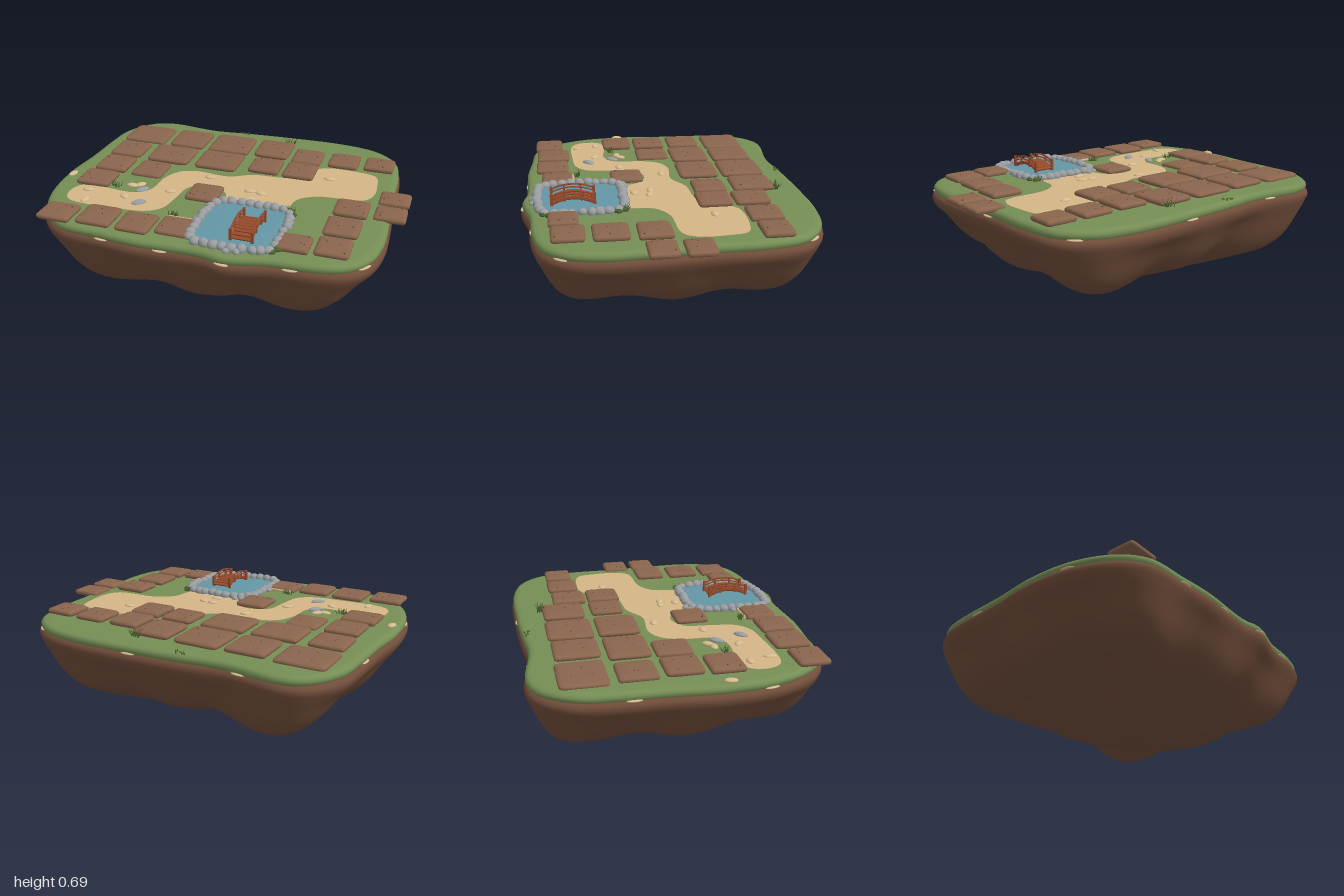
import * as THREE from 'three';

const mat = (name, color, extra = {}) => new THREE.MeshStandardMaterial({ name, color, ...extra });
const M = {
  grass: mat('grass green', 0x768e55),
  dirt: mat('earth brown', 0x714d3a),
  plot: mat('soil brown', 0x8a654d),
  path: mat('sand', 0xd4b585),
  water: mat('water blue', 0x6496a6),
  stone: mat('stone grey', 0x999da0),
  wood: mat('red wood', 0x984b2b),
  pebble: mat('pebble tan', 0xd6bb90),
  leaf: mat('dark leaf', 0x48612f),
  dark: mat('dark soil', 0x4a3529),
};

let seed = 7;
const rand = () => (seed = (seed * 16807) % 2147483647) / 2147483647;
const spread = (a) => (rand() - 0.5) * 2 * a;

// Closed skin through scaled copies of a plan outline, listed from top to bottom
function loft(outline, rings, rule = (x, y, z) => [x, y, z]) {
  const n = outline.length, pos = [], idx = [];
  rings.forEach(([s, y]) => outline.forEach((p) => pos.push(...rule(p.x * s, y, p.y * s, s))));
  for (let i = 0; i < rings.length - 1; i++)
    for (let j = 0; j < n; j++) {
      const a = i * n + j, b = i * n + ((j + 1) % n);
      idx.push(a, b, a + n, b, b + n, a + n);
    }
  const g = new THREE.BufferGeometry();
  g.setAttribute('position', new THREE.Float32BufferAttribute(pos, 3));
  g.setIndex(idx);
  g.computeVertexNormals();
  return g;
}

const smoothLoop = (pts, n) => {
  const c = new THREE.CatmullRomCurve3(pts.map(([x, z]) => new THREE.Vector3(x, 0, z)), true);
  return c.getSpacedPoints(n).slice(0, n).map((p) => new THREE.Vector2(p.x, p.z));
};

// Rounded square in plan, slightly irregular
const squircle = (w, d, e, n, wob = 0) => {
  const ph = rand() * 6;
  return Array.from({ length: n }, (_, i) => {
    const t = (i / n) * Math.PI * 2, c = Math.cos(t), s = Math.sin(t), k = 1 + wob * Math.sin(3 * t + ph);
    return new THREE.Vector2(Math.sign(c) * Math.abs(c) ** e * w * k / 2, Math.sign(s) * Math.abs(s) ** e * d * k / 2);
  });
};

export function createModel() {
  const root = new THREE.Group();
  root.name = 'gardenIsland';
  const group = (name) => { const g = new THREE.Group(); g.name = name; root.add(g); return g; };
  const add = (parent, name, geo, material, x = 0, y = 0, z = 0) => {
    const m = new THREE.Mesh(geo, material);
    m.name = name;
    m.position.set(x, y, z);
    parent.add(m);
    return m;
  };
  const ball = new THREE.SphereGeometry(1, 12, 8);
  const rock = (parent, name, material, x, y, z, rx, ry, rz, turn = rand() * 6) => {
    const m = add(parent, name, ball, material, x, y, z);
    m.scale.set(rx, ry, rz);
    m.rotation.y = turn;
  };

  // Island: lumpy earth bowl under a rounded turf slab
  const coast = smoothLoop([[-0.67, -0.78], [-0.37, -0.745], [-0.13, -0.765], [0.14, -0.78], [0.51, -0.78], [0.72, -0.73],
    [0.85, -0.61], [0.895, -0.4], [0.9, -0.13], [0.92, 0.19], [0.92, 0.4], [0.88, 0.56], [0.78, 0.67], [0.62, 0.715],
    [0.4, 0.73], [0.19, 0.775], [0.06, 0.75], [-0.29, 0.755], [-0.5, 0.735], [-0.72, 0.71], [-0.85, 0.61], [-0.95, 0.4],
    [-0.98, 0.13], [-0.96, -0.13], [-0.95, -0.4], [-0.93, -0.56], [-0.85, -0.7], [-0.77, -0.76]], 128);
  const bowl = new THREE.CatmullRomCurve3([[0.9, 0.556], [0.99, 0.552], [1.01, 0.53], [1.005, 0.495], [0.95, 0.42], [0.87, 0.31],
    [0.78, 0.235], [0.6, 0.165], [0.4, 0.092], [0.22, 0.032], [0.1, 0.007], [0, 0]].map(([s, y]) => new THREE.Vector3(s, y, 0)));
  const lumps = (x, y, z, s) => {
    const t = Math.atan2(z, x), w = Math.max(0, 6.75 * s * s * (1 - s));
    const lobe = 0.3 * Math.cos(4 * t - Math.PI) + 0.7 * Math.cos(8 * t) + 0.2 * Math.cos(3 * t + 1);
    const k = 1 + 0.055 * w * lobe;
    return [x * k, y - 0.018 * w * lobe, z * k];
  };
  add(root, 'earthUnderside', loft(coast, bowl.getPoints(48).map((p) => [Math.max(0, p.x), p.y]), lumps), M.dirt);
  add(root, 'turf', loft(coast, [[0, 0.597], [0.5, 0.597], [0.95, 0.597], [0.975, 0.595], [0.99, 0.589], [0.999, 0.578],
    [1, 0.563], [0.99, 0.548], [0.97, 0.542], [0.9, 0.542]]), M.grass);

  // Pale sandy slivers along the seam between turf and earth
  const seam = group('sandSeam');
  [4, 17, 31, 44, 58, 66, 73, 80, 87, 101, 115].forEach((i) => {
    const p = coast[i], q = coast[(i + 1) % coast.length];
    rock(seam, 'sandSliver', M.pebble, p.x * 0.993, 0.551, p.y * 0.993, 0.04, 0.006, 0.014, -Math.atan2(q.y - p.y, q.x - p.x));
  });

  // Winding sand path
  const lane = smoothLoop([[0.46, -0.365], [0.68, -0.37], [0.77, -0.34], [0.795, -0.22], [0.795, -0.1], [0.75, -0.02], [0.5, 0.01],
    [0.4, 0.08], [0.37, 0.22], [0.3, 0.28], [0.05, 0.28], [0, 0.13], [-0.1, 0.07], [-0.22, 0.12], [-0.245, 0.27], [-0.27, 0.4],
    [-0.34, 0.46], [-0.5, 0.48], [-0.8, 0.465], [-0.845, 0.38], [-0.82, 0.29], [-0.7, 0.27], [-0.5, 0.28], [-0.42, 0.22],
    [-0.4, 0.05], [-0.35, -0.05], [-0.26, -0.09], [-0.05, -0.08], [0.08, -0.145], [0.25, -0.16], [0.4, -0.21], [0.41, -0.31]], 140);
  const laneShape = new THREE.Shape(lane.map((p) => new THREE.Vector2(p.x, -p.y)));
  add(root, 'sandPath', new THREE.ExtrudeGeometry(laneShape, { depth: 0.005, bevelEnabled: false }).rotateX(-Math.PI / 2),
    M.path, 0, 0.594, 0);

  // Soil plots: centre x, centre z, width, depth
  const plots = group('soilPlots');
  const plotData = [
    [-0.73, -0.515, 0.275, 0.245], [-0.44, -0.51, 0.225, 0.24], [-0.165, -0.51, 0.26, 0.25], [0.11, -0.515, 0.215, 0.235],
    [0.335, -0.46, 0.18, 0.195], [0.56, -0.475, 0.18, 0.18], [0.77, -0.48, 0.175, 0.16],
    [-0.755, -0.255, 0.2, 0.2], [-0.47, -0.25, 0.265, 0.225], [-0.165, -0.25, 0.26, 0.23], [0.125, -0.265, 0.185, 0.185],
    [0.335, -0.255, 0.185, 0.19], [-0.745, -0.025, 0.195, 0.195], [-0.515, -0.02, 0.185, 0.195], [-0.76, 0.185, 0.2, 0.18],
    [-0.105, 0.18, 0.18, 0.185], [0.915, -0.075, 0.17, 0.15], [0.915, 0.105, 0.17, 0.15], [0.71, 0.115, 0.185, 0.175],
    [0.7, 0.33, 0.185, 0.185], [0.695, 0.54, 0.175, 0.17], [-0.77, 0.625, 0.19, 0.17], [-0.545, 0.6, 0.195, 0.195],
    [-0.325, 0.605, 0.185, 0.19], [-0.115, 0.58, 0.19, 0.175], [0.505, 0.56, 0.165, 0.155]];
  plotData.forEach(([x, z, w, d]) => {
    const top = (x > 0.85 ? 0.619 : 0.624) + spread(0.004), y = top - 0.017;
    add(plots, 'soilPlot', loft(squircle(w, d, 0.18, 64, 0.012), [[0, top], [0.5, top], [0.8, top - 0.002], [0.91, top - 0.005],
      [0.975, top - 0.01], [1, y], [0.985, y - 0.008], [0.94, y - 0.014], [0, y - 0.015]]), M.plot, x, 0, z);
    for (let i = 0; i < 3; i++)
      add(plots, 'soilSpeck', new THREE.SphereGeometry(0.005, 6, 4).scale(1, 0.4, 1), M.dark,
        x + spread(w * 0.38), top - 0.001, z + spread(d * 0.38));
  });

  // Pond with a ring of boulders
  const pond = group('pond');
  const px = 0.195, pz = 0.46;
  add(pond, 'water', loft(squircle(0.46, 0.46, 0.3, 64), [[0, 0.604], [1, 0.604], [1, 0.598]]), M.water, px, 0, pz);
  const rim = smoothLoop(squircle(0.455, 0.465, 0.4, 40).map((p) => [p.x, p.y]), 34);
  rim.forEach((p, i) => {
    const q = rim[(i + 1) % rim.length];
    rock(pond, 'rimStone', M.stone, px + p.x + spread(0.006), 0.607, pz + p.y + spread(0.006),
      0.026 + rand() * 0.007, 0.02 + rand() * 0.008, 0.024 + rand() * 0.006, -Math.atan2(q.y - p.y, q.x - p.x) + spread(0.4));
  });
  [[0.01, 0.21], [0.05, 0.2], [-0.05, 0.46], [0.43, 0.36], [0.44, 0.5], [0.2, 0.72], [0.25, 0.715], [0.36, 0.24], [0.03, 0.69]]
    .forEach(([x, z]) => rock(pond, 'outerStone', M.stone, x, 0.602, z, 0.022, 0.016, 0.018));
  [[0.4, 0.235], [0.42, 0.27], [0.435, 0.63], [0.41, 0.66]].forEach(([x, z]) =>
    rock(pond, 'waterPlant', M.leaf, x, 0.602, z, 0.026, 0.014, 0.02));

  // Arched footbridge running front to back
  const bridge = group('footbridge');
  const bx = 0.245, bz = 0.5, half = 0.115;
  const arch = (z, base, rise) => base + rise * (1 - (z / half) ** 2);
  const archTube = (x, base, rise, r) => new THREE.TubeGeometry(new THREE.CatmullRomCurve3(
    [-1, -0.67, -0.33, 0, 0.33, 0.67, 1].map((t) => new THREE.Vector3(x, arch(t * half, base, rise), t * half))), 20, r, 6);
  for (let i = 0; i < 11; i++) {
    const z = -half + 0.005 + i * 0.022;
    const plank = add(bridge, 'plank', new THREE.BoxGeometry(0.115 + spread(0.004), 0.008, 0.0195), M.wood, bx, arch(z, 0.616, 0.031), bz + z);
    plank.rotation.x = Math.atan((0.062 * z) / half ** 2);
  }
  for (const side of [-1, 1]) {
    add(bridge, 'beam', archTube(side * 0.05, 0.61, 0.03, 0.008), M.wood, bx, 0, bz);
    add(bridge, 'lowerRail', archTube(side * 0.057, 0.639, 0.026, 0.004), M.wood, bx, 0, bz);
    add(bridge, 'handrail', archTube(side * 0.057, 0.657, 0.025, 0.005), M.wood, bx, 0, bz);
    for (const z of [-half, -0.045, 0.045, half]) {
      const foot = arch(z, 0.6, 0.03), end = Math.abs(z) === half;
      const h = arch(z, 0.66, 0.024) - foot + (end ? 0.008 : 0);
      add(bridge, 'post', new THREE.BoxGeometry(end ? 0.014 : 0.009, h, end ? 0.014 : 0.009), M.wood, bx + side * 0.057, foot + h / 2, bz + z);
    }
  }

  // Loose pebbles and a fallen stick
  const pebbles = group('pebbles');
  [[0.52, -0.225, 0], [-0.145, -0.035, 0], [0.125, 0.065, 0], [0.19, 0.075, -0.3], [0.15, 0.16, 0.2], [-0.3, 0.205, 0.1],
    [-0.495, 0.18, 0.9], [-0.535, 0.2, 0], [-0.52, 0.34, -0.6], [-0.75, 0.325, 0.1], [-0.71, 0.44, 1.4], [-0.935, 0.165, 1.4]]
    .forEach(([x, z, t]) => rock(pebbles, 'pebble', M.pebble, x, 0.6, z, 0.035, 0.011, 0.021, t));
  [[-0.46, 0.235, 0.9], [-0.415, 0.385, 0.7]].forEach(([x, z, t]) =>
    rock(pebbles, 'greyPebble', M.stone, x, 0.6, z, 0.043, 0.014, 0.024, t));
  add(pebbles, 'stick', new THREE.CylinderGeometry(0.007, 0.007, 0.14, 6).rotateZ(Math.PI / 2), M.pebble, -0.12, 0.605, 0.487);

  // Grass tufts made of leaning blades
  const tufts = group('grassTufts');
  [[0.18, -0.645, 0.055], [-0.63, 0.24, 0.04], [-0.18, 0.46, 0.04], [-0.15, -0.735, 0.015], [0.39, 0.23, 0.04]].forEach(([x, z, h]) => {
    for (let i = 0; i < 14; i++) {
      const blade = add(tufts, 'blade', new THREE.ConeGeometry(0.004, h, 4).translate(0, h / 2, 0), M.leaf,
        x + spread(0.032), 0.594, z + spread(0.014));
      blade.rotation.set(spread(0.6), 0, spread(0.7));
    }
  });
  return root;
}
